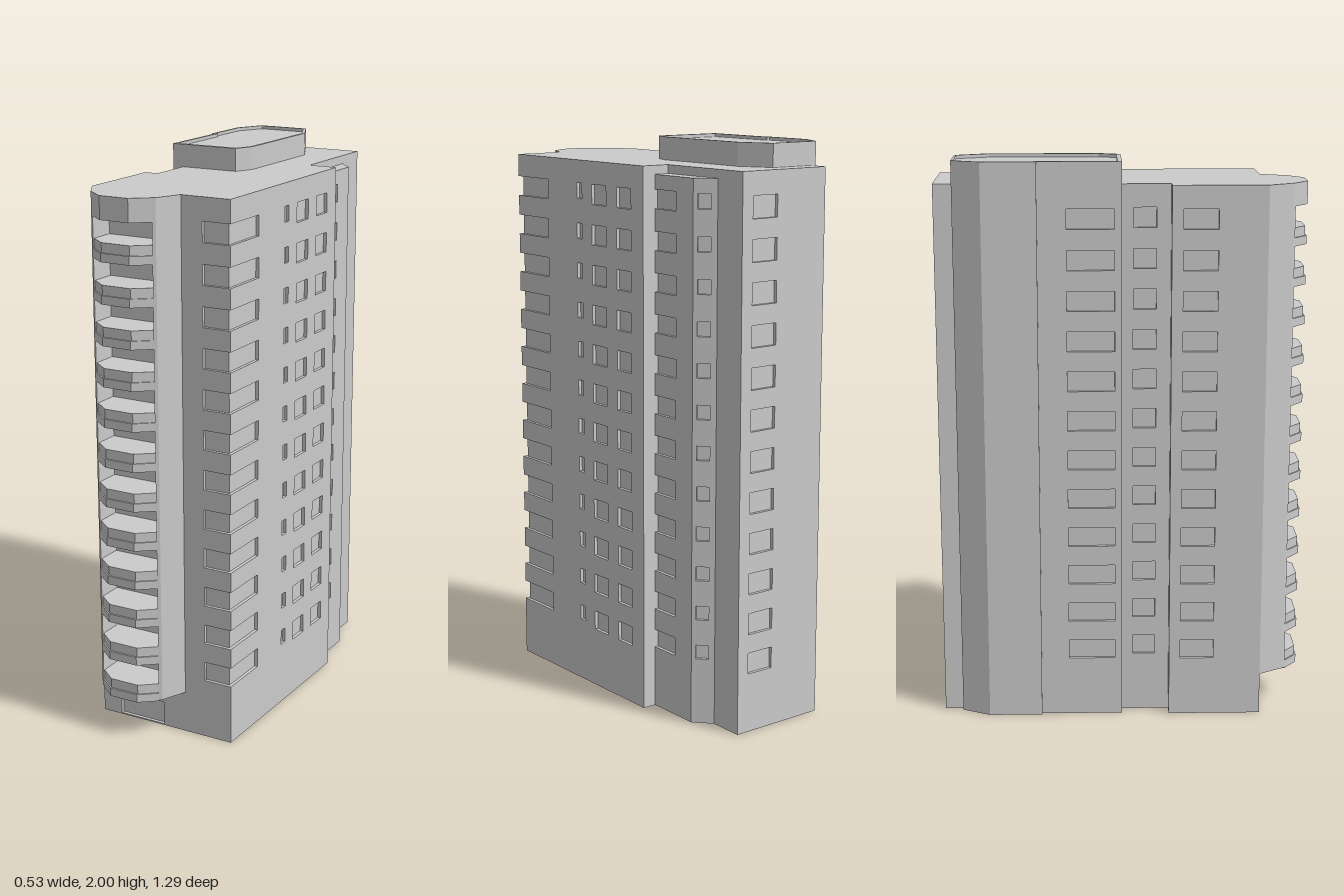
import * as THREE from 'three';

const FLOORS = 12, PITCH = 0.1414, ROOF = 1.92, BASE = 0.15, DEPTH = 0.012;
const mat = new THREE.MeshStandardMaterial({ color: 0xcccccc, flatShading: true, side: THREE.DoubleSide });

const mesh = (name, geometry) => {
  const m = new THREE.Mesh(geometry, mat);
  m.name = name;
  return m;
};

// Plan shape from [x, z] points
const plan = pts => new THREE.Shape(pts.map(([x, z]) => new THREE.Vector2(x, -z)));

// Vertical prism over a plan shape
function prism(shape, y0, y1) {
  const g = new THREE.ExtrudeGeometry(shape, { depth: y1 - y0, bevelEnabled: false });
  return g.rotateX(-Math.PI / 2).translate(0, y0, 0);
}

// Flat horizontal slab face
const deck = (pts, y) => new THREE.ShapeGeometry(plan(pts)).rotateX(-Math.PI / 2).translate(0, y, 0);

// Wall from a to b (left to right seen from outside) with columns of recessed windows.
// Column: { u0, u1, y0, y1 (top storey), count, openL, openR } ; open ends wrap a corner.
function wall(a, b, bottom, top, columns = []) {
  const len = Math.hypot(b[0] - a[0], b[1] - a[1]);
  const dx = (b[0] - a[0]) / len, dz = (b[1] - a[1]) / len;
  const pos = [];
  const P = (u, y, d) => [a[0] + dx * u + dz * d, y, a[1] + dz * u - dx * d];
  const quad = (p, q, r, s) => pos.push(...p, ...q, ...r, ...p, ...r, ...s);
  const flat = (u0, u1, y0, y1, d = 0) => {
    if (u1 - u0 > 1e-4 && y1 - y0 > 1e-4) quad(P(u0, y0, d), P(u1, y0, d), P(u1, y1, d), P(u0, y1, d));
  };
  let u = 0;
  for (const { u0, u1, y0, y1, count = FLOORS, openL, openR } of columns) {
    flat(u, u0, bottom, top);
    const i0 = u0 + (openL ? DEPTH : 0), i1 = u1 - (openR ? DEPTH : 0);
    let y = bottom;
    for (let f = count - 1; f >= 0; f--) {
      const lo = y0 - f * PITCH, hi = y1 - f * PITCH;
      flat(u0, u1, y, lo);
      flat(i0, i1, lo, hi, DEPTH);
      quad(P(u0, lo, 0), P(u1, lo, 0), P(i1, lo, DEPTH), P(i0, lo, DEPTH));
      quad(P(i0, hi, DEPTH), P(i1, hi, DEPTH), P(u1, hi, 0), P(u0, hi, 0));
      if (!openL) quad(P(u0, lo, 0), P(u0, lo, DEPTH), P(u0, hi, DEPTH), P(u0, hi, 0));
      if (!openR) quad(P(u1, lo, DEPTH), P(u1, lo, 0), P(u1, hi, 0), P(u1, hi, DEPTH));
      y = hi;
    }
    flat(u0, u1, y, top);
    u = u1;
  }
  flat(u, len, bottom, top);
  const g = new THREE.BufferGeometry();
  g.setAttribute('position', new THREE.Float32BufferAttribute(pos, 3));
  g.computeVertexNormals();
  return g;
}

const win = (u0, u1, y0 = 1.77, extra = {}) => ({ u0, u1, y0, y1: 1.84, ...extra });

export function createModel() {
  const model = new THREE.Group();
  model.name = 'towerBlock';
  const add = (name, g) => model.add(mesh(name, g));

  // Outer walls, going round from the front
  const walls = [
    ['frontWall', [0.08, 0.5], [0.265, 0.5], [win(0.08, 0.185, 1.77, { openR: true })]],
    ['rightWall', [0.265, 0.5], [0.265, -0.255], [
      win(0, 0.19, 1.77, { openL: true }), win(0.37, 0.4, 1.785), win(0.46, 0.543), win(0.605, 0.686)]],
    ['rightReturn', [0.265, -0.255], [0.16, -0.255]],
    ['rightUpperWall', [0.16, -0.255], [0.16, -0.52], [], 1.89],
    ['rightBackWall', [0.16, -0.52], [0.16, -0.645]],
    ['backWall', [0.16, -0.645], [-0.2, -0.645], [win(0.045, 0.15, 1.765)]],
    ['backReturn', [-0.2, -0.645], [-0.2, -0.58]],
    ['towerBack', [-0.2, -0.58], [-0.215, -0.58]],
    ['towerSlant', [-0.215, -0.58], [-0.265, -0.48]],
    ['towerSide', [-0.265, -0.48], [-0.265, -0.29]],
    ['towerStep', [-0.265, -0.29], [-0.255, -0.29]],
    ['towerWindowWall', [-0.255, -0.29], [-0.255, 0], [win(0.1, 0.265)]],
    ['towerFront', [-0.255, 0], [-0.215, 0]],
    ['leftRecessWall', [-0.215, 0], [-0.215, 0.17], [win(0.04, 0.12)]],
    ['leftReturn', [-0.215, 0.17], [-0.265, 0.17]],
    ['leftWall', [-0.265, 0.17], [-0.265, 0.5], [win(0.04, 0.16)]],
    // Back of the balconies, with the entrance at the bottom
    ['balconyBackWall', [-0.265, 0.5], [0.08, 0.5], [{ u0: 0.075, u1: 0.255, y0: 0.005, y1: 0.09, count: 1 }]],
  ];
  for (const [name, a, b, columns = [], bottom = 0] of walls) add(name, wall(a, b, bottom, ROOF, columns));

  // Lower side bay on the right
  add('sideBayWall', wall([0.215, -0.255], [0.215, -0.46], 0, 1.89, [win(0, 0.115, 1.775)]));
  add('sideBaySlant', wall([0.215, -0.46], [0.16, -0.52], 0, 1.89, [win(0.015, 0.06, 1.79)]));
  add('sideBayRoof', deck([[0.16, -0.255], [0.215, -0.255], [0.215, -0.46], [0.16, -0.52]], 1.89));

  // Main roof
  const left = walls.slice(5, 16).map(w => w[2]);
  add('roof', deck([[0.08, 0.5], [0.265, 0.5], [0.265, -0.255], [0.16, -0.255], [0.16, -0.645], ...left], ROOF));

  // Balcony bay: two full-height piers with faceted parapets between them
  add('leftPier', prism(plan([[-0.265, 0.5], [-0.21, 0.59], [-0.2, 0.597], [-0.2, 0.5]]), BASE, ROOF));
  add('rightPier', prism(plan([[0.08, 0.5], [0.04, 0.59], [0.03, 0.597], [0.03, 0.5]]), BASE, ROOF));
  const bay = inset => plan([[-0.2, 0.5], [-0.2, 0.597 - inset], [-0.14, 0.645 - inset],
    [-0.03, 0.645 - inset], [0.03, 0.597 - inset], [0.03, 0.5]]);
  add('topLintel', prism(bay(0), 1.84, ROOF));
  for (let f = 0; f < FLOORS; f++) {
    const top = 1.765 - f * PITCH;
    add('balconyParapet', prism(bay(0.006), top - 0.034, top));
    add('balconySlab', prism(bay(0), top - 0.064, top - 0.034));
  }

  // Roof house with a low rim
  const outer = [[-0.255, 0], [0, 0], [0.03, -0.07], [0.03, -0.465], [-0.025, -0.58],
    [-0.215, -0.58], [-0.265, -0.48], [-0.265, -0.29], [-0.255, -0.29]];
  const inner = [[-0.245, -0.015], [-0.007, -0.015], [0.02, -0.075], [0.02, -0.46], [-0.032, -0.572],
    [-0.21, -0.572], [-0.257, -0.478], [-0.257, -0.298], [-0.245, -0.298]];
  const rim = plan(outer);
  rim.holes.push(plan(inner));
  add('roofHouseRim', prism(rim, ROOF, 2));
  add('roofHouseTop', deck(inner, 1.988));
  return model;
}
